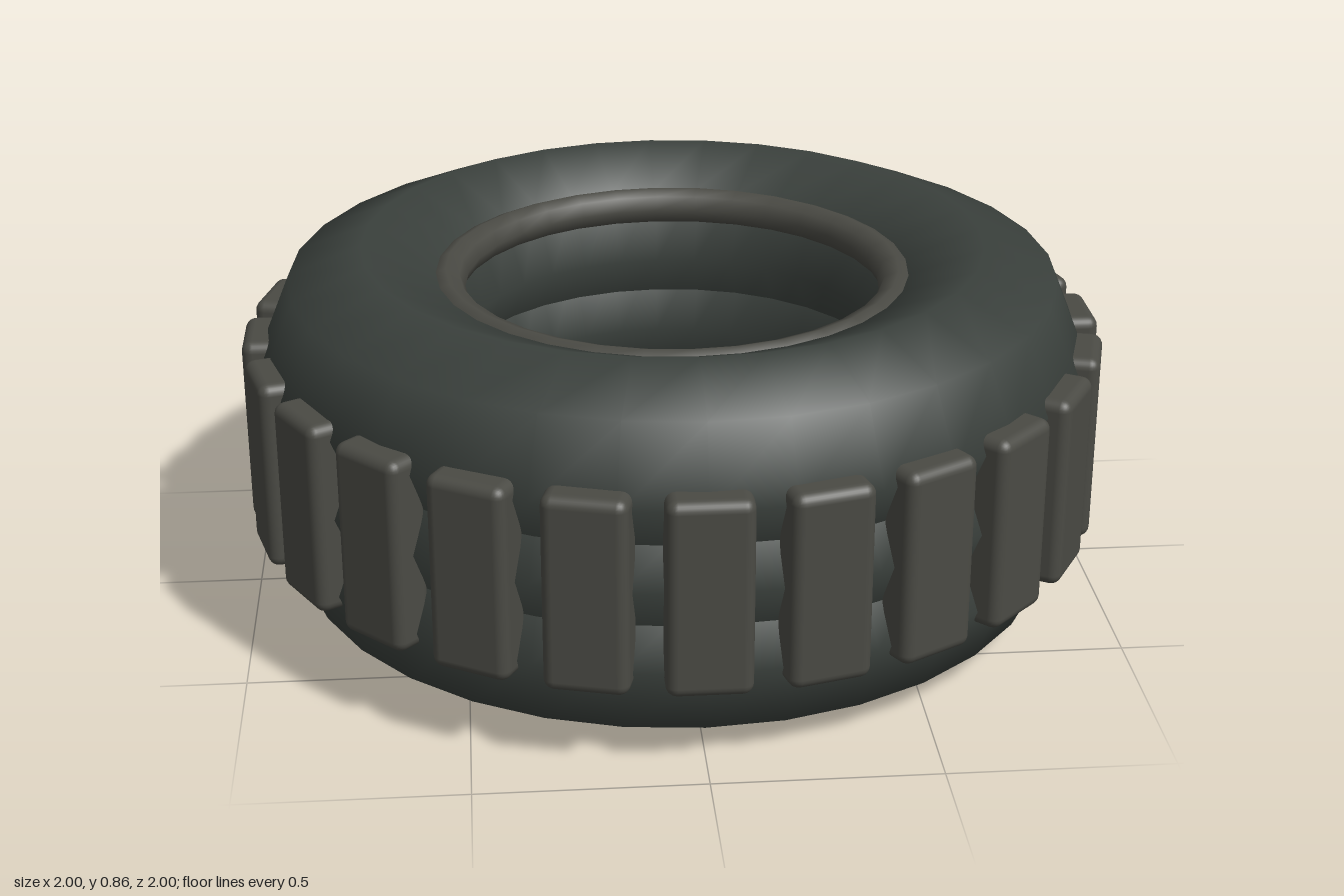
import * as THREE from 'three';
import { RoundedBoxGeometry } from 'three/addons/geometries/RoundedBoxGeometry.js';

export function createModel() {
  const model = new THREE.Group();
  model.name = 'tire';
  const rubber = new THREE.MeshStandardMaterial({ color: 0x3a403c });
  const trim = new THREE.MeshStandardMaterial({ color: 0x4a4a44 });
  const midY = 0.4275;

  // Horizontal ring centred on the y axis
  function ring(name, radius, tube, sides, segments, y, material) {
    const geometry = new THREE.TorusGeometry(radius, tube, sides, segments);
    geometry.rotateX(-Math.PI / 2);
    const mesh = new THREE.Mesh(geometry, material);
    mesh.name = name;
    mesh.position.y = y;
    model.add(mesh);
  }

  // Carcass: three overlapping rings that leave shallow grooves between them
  ring('lowerCarcass', 0.72, 0.24, 8, 32, midY - 0.1875, rubber);
  ring('middleCarcass', 0.72, 0.24, 8, 32, midY, rubber);
  ring('upperCarcass', 0.72, 0.24, 8, 32, midY + 0.1875, rubber);

  // Beads around the hole on both faces
  ring('lowerBead', 0.527, 0.045, 8, 32, midY - 0.32, trim);
  ring('upperBead', 0.527, 0.045, 8, 32, midY + 0.32, trim);

  // Tread blocks around the rim
  const treads = new THREE.Group();
  treads.name = 'treads';
  const blockGeometry = new RoundedBoxGeometry(0.185, 0.45, 0.1, 3, 0.025);
  const count = 24;
  for (let i = 0; i < count; i++) {
    const angle = (i / count) * Math.PI * 2;
    const block = new THREE.Mesh(blockGeometry, trim);
    block.name = 'treadBlock';
    block.position.set(Math.sin(angle) * 0.95, midY + 0.002, Math.cos(angle) * 0.95);
    block.rotation.y = angle;
    treads.add(block);
  }
  model.add(treads);

  return model;
}
